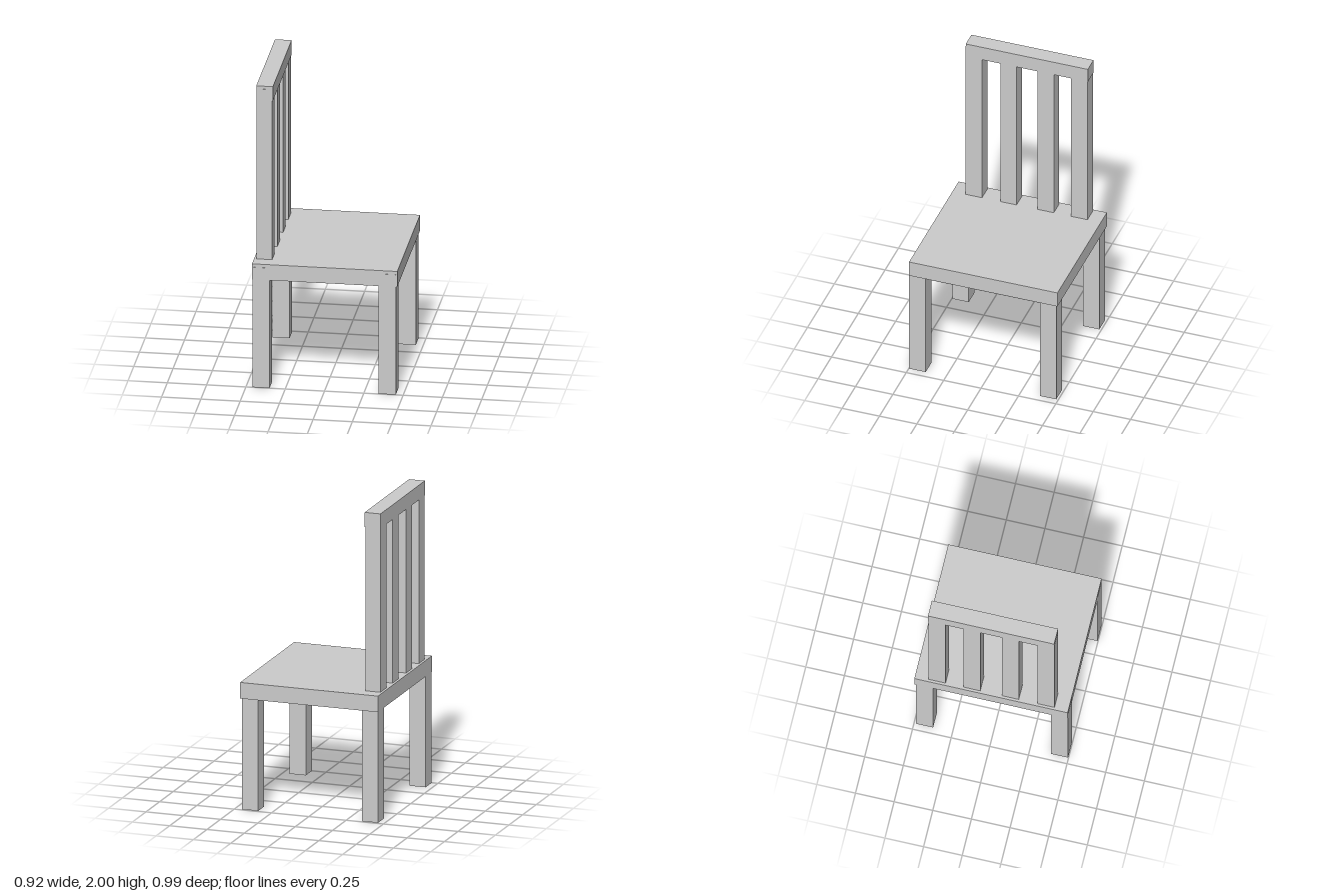
import * as THREE from 'three';

const material = new THREE.MeshStandardMaterial({ color: 0xcccccc, flatShading: true });

// Box given by its [min, max] range on each axis
function block(name, [x0, x1], [y0, y1], [z0, z1]) {
  const mesh = new THREE.Mesh(new THREE.BoxGeometry(x1 - x0, y1 - y0, z1 - z0), material);
  mesh.name = name;
  mesh.position.set((x0 + x1) / 2, (y0 + y1) / 2, (z0 + z1) / 2);
  return mesh;
}

export function createModel() {
  const chair = new THREE.Group();
  chair.name = 'chair';

  // Seat slab
  chair.add(block('seat', [-0.462, 0.462], [0.727, 0.832], [-0.497, 0.495]));

  // Four square legs, let into the seat
  const legs = new THREE.Group();
  legs.name = 'legs';
  for (const x of [-0.459, 0.344]) {
    for (const z of [-0.486, 0.387]) {
      const name = (x < 0 ? 'back' : 'front') + 'Leg';
      legs.add(block(name, [x, x + 0.109], [0, 0.81], [z, z + 0.11]));
    }
  }
  chair.add(legs);

  // Backrest along the -x edge: four upright slats under a top rail
  const backrest = new THREE.Group();
  backrest.name = 'backrest';
  for (const z of [0.297, 0.066, -0.183, -0.408]) {
    backrest.add(block('backSlat', [-0.446, -0.347], [0.8, 1.98], [z, z + 0.109]));
  }
  backrest.add(block('topRail', [-0.448, -0.342], [1.904, 2], [-0.412, 0.404]));
  chair.add(backrest);

  return chair;
}
